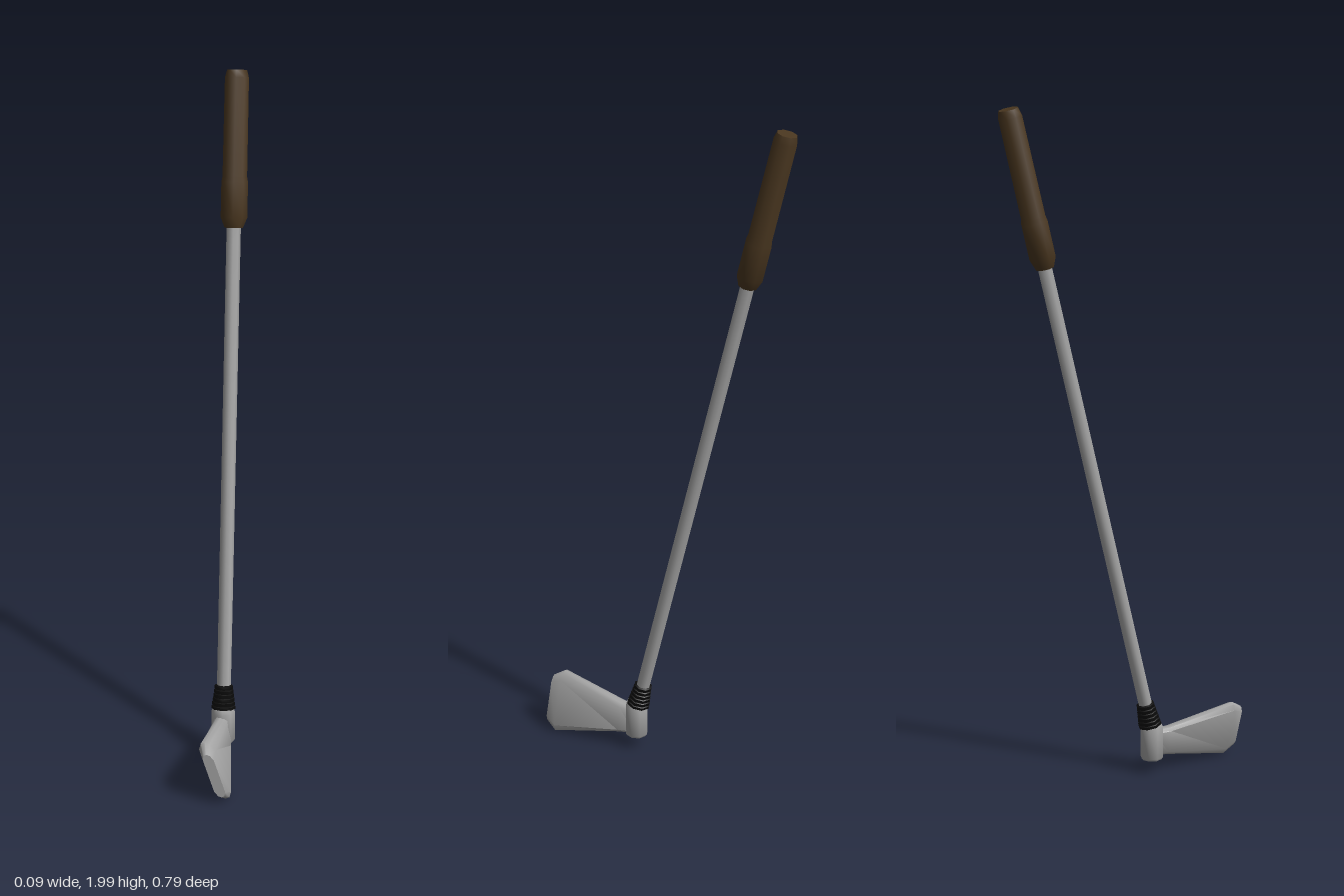
import * as THREE from 'three';
import { toCreasedNormals } from 'three/addons/utils/BufferGeometryUtils.js';

const SIDES = 8;

const material = (name, color) => {
  const m = new THREE.MeshStandardMaterial({ color });
  m.name = name;
  return m;
};

// Turned part from [radius, height] pairs, listed bottom to top
function turned(name, profile, mat, crease = 0.95) {
  const points = profile.map(([r, y]) => new THREE.Vector2(r, y));
  const geometry = toCreasedNormals(new THREE.LatheGeometry(points, SIDES), crease);
  const mesh = new THREE.Mesh(geometry, mat);
  mesh.name = name;
  return mesh;
}

// Blade lofted along z through leaning, chamfered sections
function bladeGeometry() {
  // z, centre y, half height, half thickness, lean of the top towards -x
  const sections = [
    [0.095, 0.098, 0.042, 0.020, 0.004],
    [0.15, 0.098, 0.047, 0.021, 0.010],
    [0.365, 0.099, 0.091, 0.024, 0.030],
    [0.40, 0.101, 0.069, 0.016, 0.022],
  ];
  // unit section, counterclockwise from the +x side
  const outline = [[1, -0.75], [1, 0.75], [0.55, 0.95], [0, 1], [-0.55, 0.95],
    [-1, 0.75], [-1, -0.75], [-0.55, -0.95], [0, -1], [0.55, -0.95]];
  const n = outline.length;
  const positions = [];
  const index = [];
  for (const [z, cy, h, t, lean] of sections) {
    for (const [u, v] of outline) positions.push(u * t - v * lean, cy + v * h, z);
  }
  for (let i = 0; i < sections.length - 1; i++) {
    for (let j = 0; j < n; j++) {
      const k = (j + 1) % n;
      const a = i * n + j, b = i * n + k;
      index.push(a, b, b + n, a, b + n, a + n);
    }
  }
  // flat caps at heel and toe
  const toe = (sections.length - 1) * n;
  for (let j = 1; j < n - 1; j++) {
    index.push(0, j + 1, j, toe, toe + j, toe + j + 1);
  }
  const geometry = new THREE.BufferGeometry();
  geometry.setAttribute('position', new THREE.Float32BufferAttribute(positions, 3));
  geometry.setIndex(index);
  return toCreasedNormals(geometry, 0.9);
}

export function createModel() {
  const steel = material('steel', 0xa4a4a4);
  const leather = material('brown grip', 0x49361f);
  const black = material('black ferrule', 0x0c0c0c);

  const model = new THREE.Group();
  model.name = 'golfClub';

  // Everything above the hosel leans back along the shaft axis
  const upper = new THREE.Group();
  upper.name = 'shaftAssembly';
  upper.position.set(0, 0.2, 0.08);
  upper.rotation.x = -0.2437;
  model.add(upper);

  upper.add(turned('shaft', [[0.021, -0.02], [0.021, 1.42]], steel));

  upper.add(turned('grip', [
    [0, 1.392], [0.027, 1.392], [0.039, 1.422], [0.039, 1.525],
    [0.036, 1.54], [0.035, 1.825], [0.029, 1.847], [0, 1.847],
  ], leather));

  // Ferrule with fine stacked ridges
  const ridges = 6;
  const ferrule = [[0, -0.046]];
  for (let i = 0; i < ridges; i++) {
    const r = THREE.MathUtils.lerp(0.036, 0.028, i / (ridges - 1));
    const y = -0.046 + i * 0.0125;
    ferrule.push([r, y], [r, y + 0.008], [r - 0.003, y + 0.01]);
  }
  ferrule.push([0, 0.0265]);
  upper.add(turned('ferrule', ferrule, black, 0.9));

  // Upright socket joining the shaft to the blade
  const hosel = turned('hosel', [
    [0, 0.048], [0.03, 0.048], [0.035, 0.055], [0.035, 0.15], [0.03, 0.163], [0, 0.163],
  ], steel);
  hosel.position.z = 0.097;
  model.add(hosel);

  const blade = new THREE.Mesh(bladeGeometry(), steel);
  blade.name = 'clubHead';
  model.add(blade);

  return model;
}
